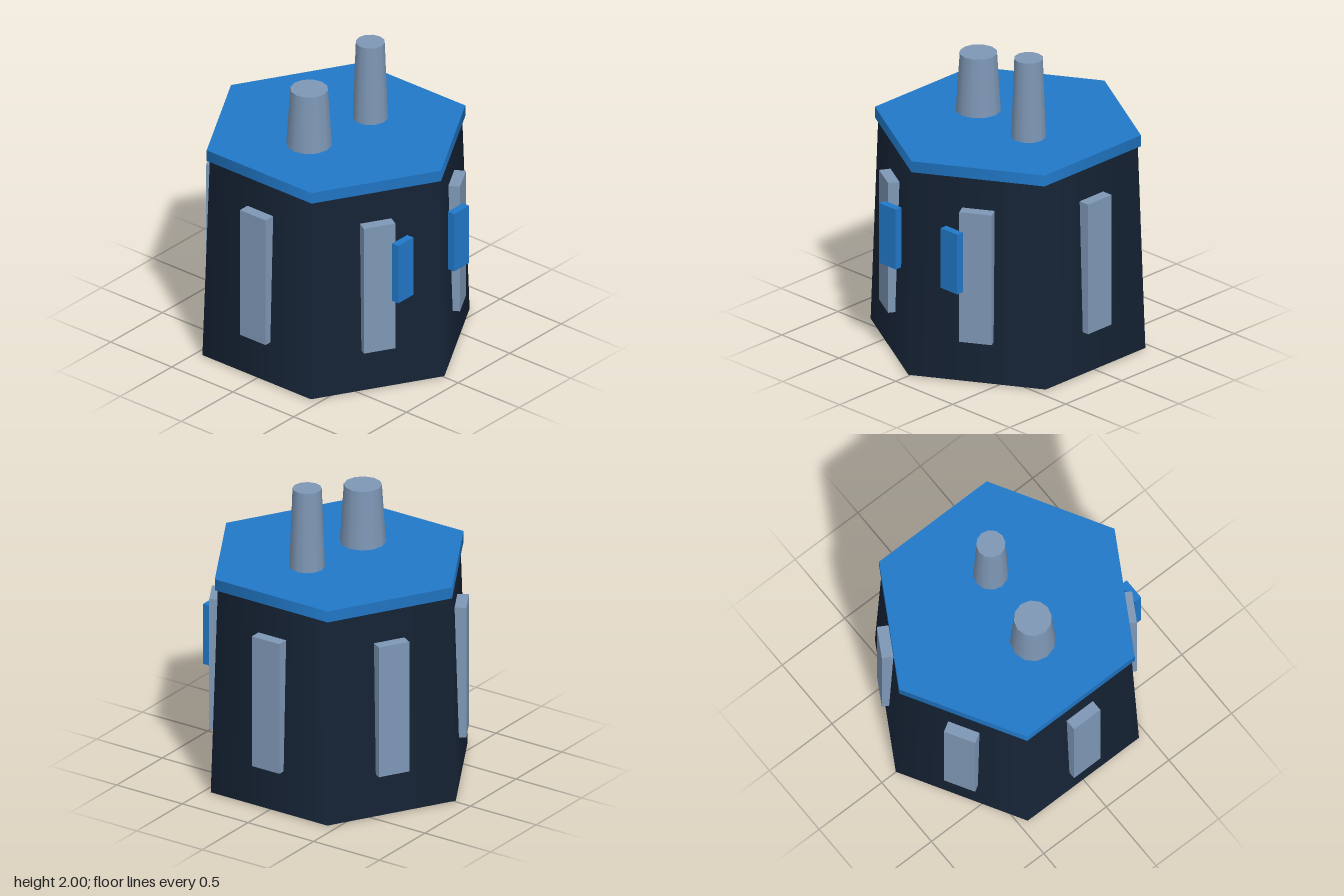
import * as THREE from 'three';

const material = (color) => new THREE.MeshStandardMaterial({ color });

export function createModel() {
  const model = new THREE.Group();
  const dark = material(0x162436);
  const blue = material(0x2178c8);
  const steel = material(0x7e97b5);

  const add = (name, geometry, mat, x, y, z, turn = 0) => {
    const mesh = new THREE.Mesh(geometry, mat);
    mesh.name = name;
    mesh.position.set(x, y, z);
    mesh.rotation.y = turn;
    model.add(mesh);
  };
  // upright tapered prism between two heights
  const taper = (name, mat, sides, rBottom, rTop, y0, y1, x = 0, z = 0) =>
    add(name, new THREE.CylinderGeometry(rTop, rBottom, y1 - y0, sides), mat, x, (y0 + y1) / 2, z);

  // hexagonal tower with a base plate and a lid
  taper('body', dark, 6, 0.888, 0.838, 0.008, 1.42);
  taper('basePlate', blue, 6, 0.86, 0.86, 0, 0.08);
  taper('lid', blue, 6, 0.86, 0.86, 1.39, 1.465);

  // chimneys on the lid
  taper('wideChimney', steel, 12, 0.145, 0.12, 1.46, 1.855, -0.26, 0);
  taper('tallChimney', steel, 12, 0.112, 0.092, 1.46, 2, 0.25, 0.07);

  // one upright panel on each of the six walls
  const panel = new THREE.BoxGeometry(0.21, 0.89, 0.12);
  for (let i = 0; i < 6; i++) {
    const a = Math.PI / 6 + (i * Math.PI) / 3;
    add('wallPanel', panel, steel, Math.sin(a) * 0.747, 0.735, Math.cos(a) * 0.747, a);
  }

  // pair of small front plates
  const plate = new THREE.BoxGeometry(0.145, 0.41, 0.05);
  for (const s of [-1, 1]) add('frontPlate', plate, blue, s * 0.27, 0.845, 0.775);

  return model;
}
